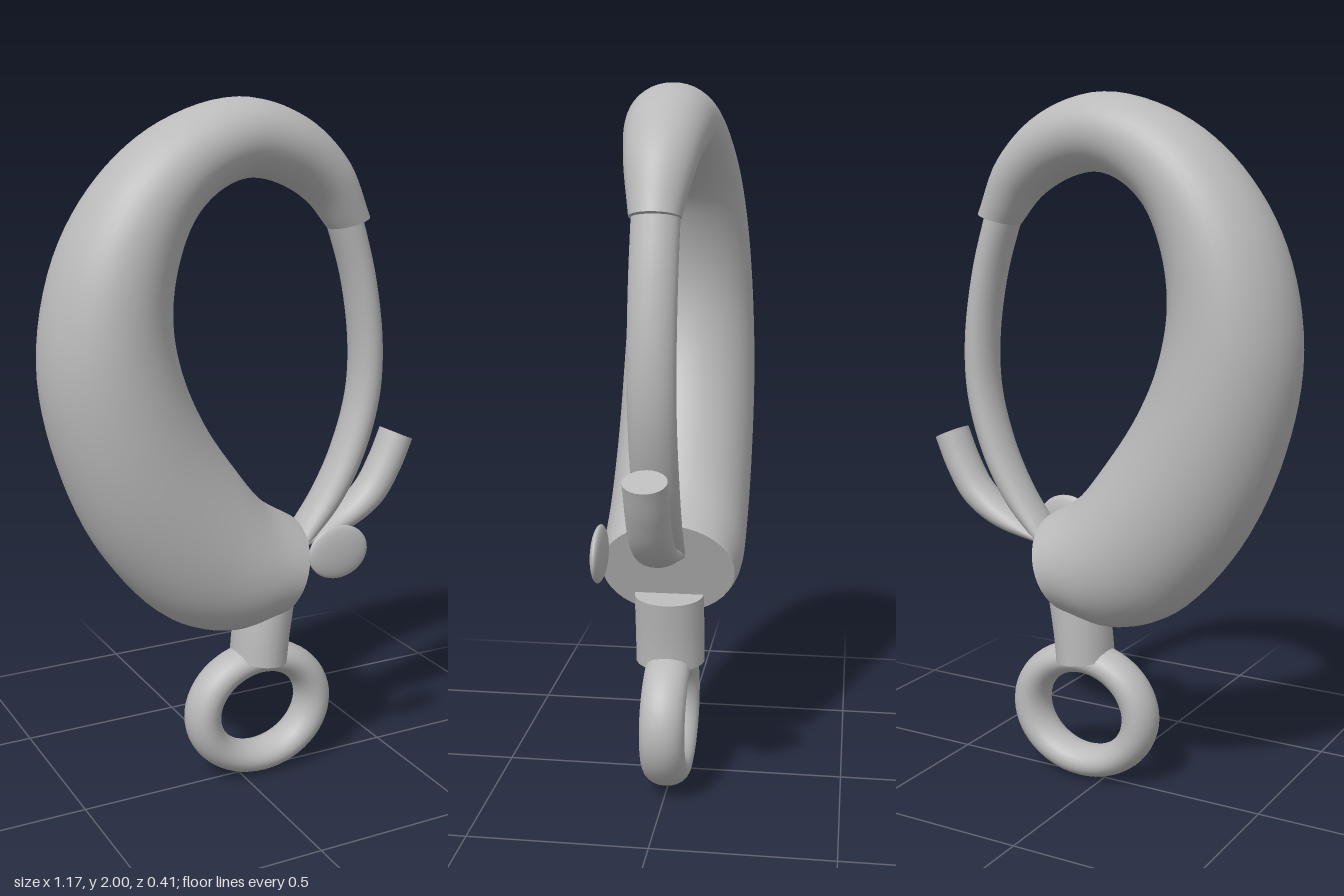
import * as THREE from 'three';

const metal = new THREE.MeshStandardMaterial({ color: 0xbababa });
metal.name = 'grey metal';

// Lofts elliptical sections; each station is [outerX, outerY, innerX, innerY, halfDepth]
function loft(name, stations, steps = 48, sides = 32) {
  const outer = new THREE.CatmullRomCurve3(stations.map(s => new THREE.Vector3(s[0], s[1], s[4])));
  const inner = new THREE.CatmullRomCurve3(stations.map(s => new THREE.Vector3(s[2], s[3], s[4])));
  const pos = [], idx = [];
  const addRing = (o, i) => {
    for (let j = 0; j < sides; j++) {
      const t = j / sides * Math.PI * 2, c = Math.cos(t);
      pos.push((o.x + i.x) / 2 + (o.x - i.x) / 2 * c,
        (o.y + i.y) / 2 + (o.y - i.y) / 2 * c, o.z * Math.sin(t));
    }
  };
  for (let k = 0; k <= steps; k++) addRing(outer.getPoint(k / steps), inner.getPoint(k / steps));
  for (let k = 0; k < steps; k++) {
    for (let j = 0; j < sides; j++) {
      const a = k * sides + j, b = k * sides + (j + 1) % sides;
      idx.push(a, b, a + sides, b, b + sides, a + sides);
    }
  }
  // Flat end caps with their own vertices keep the rims sharp
  for (const end of [0, 1]) {
    const o = outer.getPoint(end), i = inner.getPoint(end), base = pos.length / 3;
    addRing(o, i);
    pos.push((o.x + i.x) / 2, (o.y + i.y) / 2, 0);
    for (let j = 0; j < sides; j++) {
      const a = base + j, b = base + (j + 1) % sides;
      idx.push(base + sides, end ? a : b, end ? b : a);
    }
  }
  const geo = new THREE.BufferGeometry();
  geo.setAttribute('position', new THREE.Float32BufferAttribute(pos, 3));
  geo.setIndex(idx);
  geo.computeVertexNormals();
  return part(name, geo);
}

// Turns centreline points [x, y, halfWidth, halfDepth] into loft stations
function rod(name, points) {
  const stations = points.map(([x, y, w, d], k) => {
    const p = points[Math.max(k - 1, 0)], n = points[Math.min(k + 1, points.length - 1)];
    const dx = n[0] - p[0], dy = n[1] - p[1], len = Math.hypot(dx, dy);
    const ux = -dy / len * w, uy = dx / len * w;
    return [x + ux, y + uy, x - ux, y - uy, d];
  });
  return loft(name, stations, 32, 24);
}

function part(name, geo) {
  const mesh = new THREE.Mesh(geo, metal);
  mesh.name = name;
  return mesh;
}

export function createModel() {
  const group = new THREE.Group();
  group.name = 'claspHook';

  // Thick tapering hook, from the wide lower end over the top to the tip
  group.add(loft('hookBody', [
    [0.07, 0.515, 0.17, 0.80, 0.19],
    [-0.06, 0.49, 0.06, 0.87, 0.203],
    [-0.23, 0.55, -0.03, 0.98, 0.205],
    [-0.42, 0.76, -0.13, 1.13, 0.205],
    [-0.54, 1.03, -0.195, 1.28, 0.202],
    [-0.585, 1.31, -0.22, 1.43, 0.193],
    [-0.53, 1.59, -0.20, 1.57, 0.18],
    [-0.40, 1.80, -0.145, 1.69, 0.162],
    [-0.22, 1.94, -0.06, 1.76, 0.142],
    [0.0, 2.0, 0.03, 1.785, 0.125],
    [0.19, 1.95, 0.13, 1.765, 0.112],
    [0.33, 1.83, 0.225, 1.71, 0.092],
    [0.41, 1.67, 0.29, 1.635, 0.068],
  ], 72, 40));

  // Curved gate closing the hook
  group.add(rod('gate', [
    [0.33, 1.68, 0.05, 0.064], [0.385, 1.5, 0.047, 0.064], [0.416, 1.3, 0.047, 0.064],
    [0.41, 1.14, 0.047, 0.064], [0.36, 0.97, 0.046, 0.064], [0.29, 0.84, 0.042, 0.062],
    [0.2, 0.73, 0.03, 0.06],
  ]));

  // Thumb lever
  group.add(rod('lever', [
    [0.535, 1.01, 0.05, 0.058], [0.495, 0.92, 0.05, 0.058], [0.44, 0.835, 0.048, 0.058],
    [0.35, 0.772, 0.038, 0.058], [0.19, 0.72, 0.018, 0.058],
  ]));

  // Lens-shaped pivot button
  const button = part('pivotButton', new THREE.SphereGeometry(1, 32, 20));
  button.scale.set(0.097, 0.08, 0.02);
  button.position.set(0.232, 0.73, 0.175);
  group.add(button);

  // Swivel stem and ring
  group.add(rod('swivelStem', [
    [0.065, 0.37, 0.083, 0.1], [0.073, 0.45, 0.083, 0.1], [0.092, 0.578, 0.083, 0.1],
  ]));
  const ring = part('swivelRing', new THREE.TorusGeometry(0.186, 0.053, 24, 56));
  ring.scale.set(1, 0.87, 1.22);
  ring.position.set(0.065, 0.208, 0);
  group.add(ring);

  return group;
}
